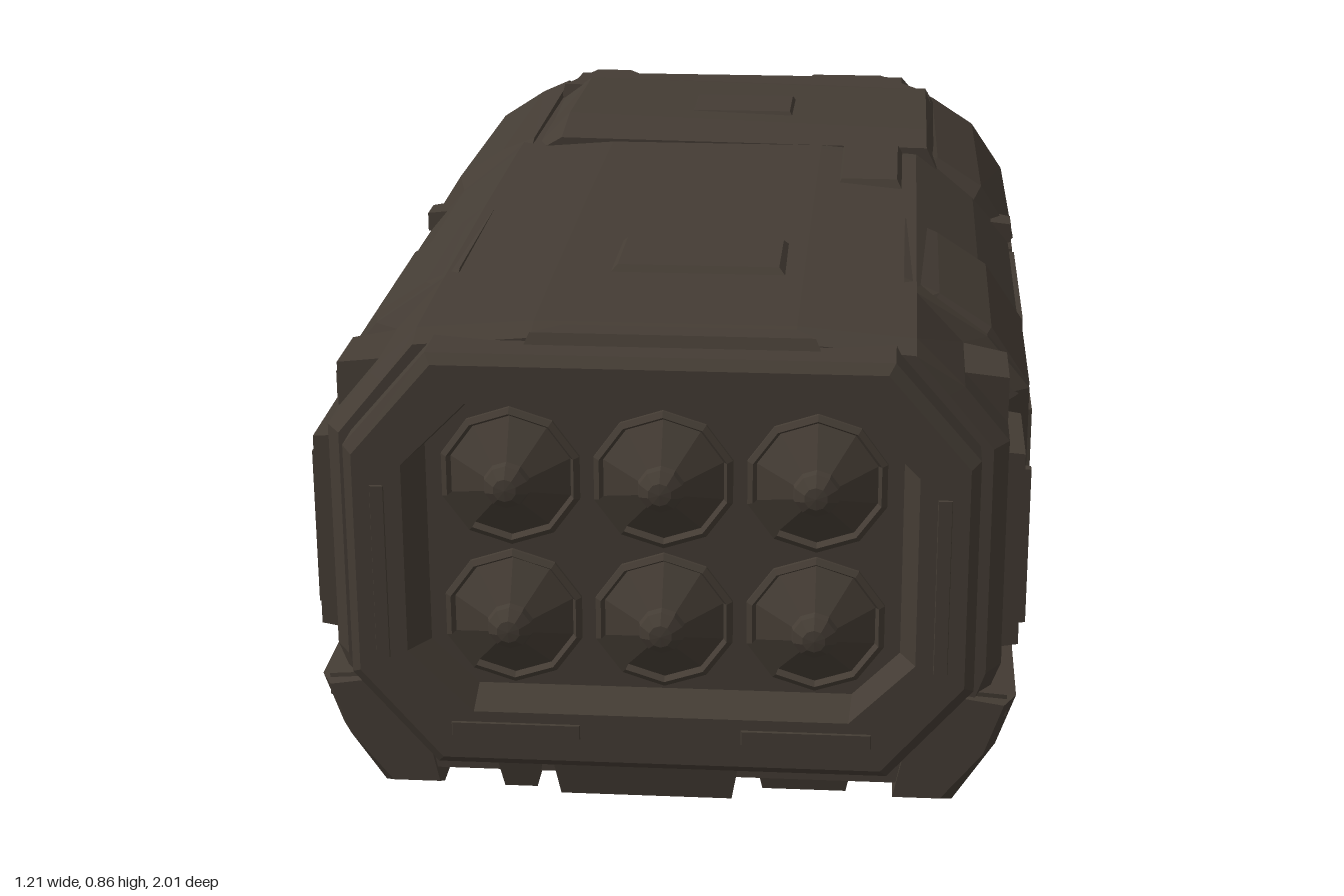
import * as THREE from 'three';

const hull = new THREE.MeshStandardMaterial({ color: 0x443c34, flatShading: true });
hull.name = 'dark brown hull';
const blue = new THREE.MeshStandardMaterial({ color: 0x1c3552, flatShading: true });
blue.name = 'navy marker';

// Skin through rings of [x, y], anticlockwise seen from +z, with closed ends
function loft(rings) {
  const v = [];
  const at = (r, j) => { const p = r.pts[j % r.pts.length]; return [p[0], p[1], r.z]; };
  const tri = (a, b, c) => v.push(...a, ...b, ...c);
  const n = rings[0].pts.length;
  for (let i = 0; i + 1 < rings.length; i++) {
    for (let j = 0; j < n; j++) {
      const a = at(rings[i], j), b = at(rings[i], j + 1);
      const c = at(rings[i + 1], j + 1), d = at(rings[i + 1], j);
      tri(a, b, c);
      tri(a, c, d);
    }
  }
  const first = rings[0], last = rings[rings.length - 1];
  for (let j = 1; j < n - 1; j++) {
    tri(at(first, 0), at(first, j + 1), at(first, j));
    tri(at(last, 0), at(last, j), at(last, j + 1));
  }
  const g = new THREE.BufferGeometry();
  g.setAttribute('position', new THREE.Float32BufferAttribute(v, 3));
  g.computeVertexNormals();
  return g;
}

// Copy of a loft reflected in x, with the corner order turned back
function mirrored(geometry) {
  const g = geometry.clone();
  const from = geometry.attributes.position, to = g.attributes.position;
  for (let i = 0; i < to.count; i += 3) {
    [0, 2, 1].forEach((k, n) => to.setXYZ(i + n, -from.getX(i + k), from.getY(i + k), from.getZ(i + k)));
  }
  g.computeVertexNormals();
  return g;
}

const rect = (u0, u1, v0, v1) => [[u0, v0], [u1, v0], [u1, v1], [u0, v1]];

// Rectangle with cut corners
const octagon = (x, y0, y1, cx, cb, ct = cb) => [
  [x - cx, y0], [x, y0 + cb], [x, y1 - ct], [x - cx, y1],
  [cx - x, y1], [-x, y1 - ct], [-x, y0 + cb], [cx - x, y0]];

// Bevelled plate rising from one level to another along the face direction.
// Outlines: side (-z, y), top (x, -z), bottom (x, z), front (x, y)
function plate(face, pts, from, to, bevel = 0.01) {
  const us = pts.map(p => p[0]), vs = pts.map(p => p[1]);
  const mid = a => (Math.min(...a) + Math.max(...a)) / 2;
  const half = a => (Math.max(...a) - Math.min(...a)) / 2;
  const mu = mid(us), mv = mid(vs);
  const ku = 1 - bevel / half(us), kv = 1 - bevel / half(vs);
  const small = pts.map(([u, w]) => [mu + (u - mu) * ku, mv + (w - mv) * kv]);
  const s = face === 'bottom' ? -1 : 1;
  const g = loft([{ pts, z: from * s }, { pts: small, z: to * s }]);
  if (face === 'side') g.rotateY(Math.PI / 2);
  if (face === 'top') g.rotateX(-Math.PI / 2);
  if (face === 'bottom') g.rotateX(Math.PI / 2);
  return g;
}

// Body cross-section: side half-width, belly height, deck height
function bodyRing(z, w, b, t) {
  const r = [[0.43, b], [w - 0.05, 0.15], [w, 0.28], [w, 0.65], [w - 0.07, 0.735], [0.38, t - 0.015], [0.2, t]];
  return { z, pts: [...r, ...r.slice().reverse().map(([x, y]) => [-x, y])] };
}

export function createModel() {
  const model = new THREE.Group();
  const add = (name, g, mat = hull, parent = model) => {
    const m = new THREE.Mesh(g, mat);
    m.name = name;
    parent.add(m);
    return m;
  };
  const pair = (name, g, mat) => {
    add(name + 'Left', g, mat);
    add(name + 'Right', mirrored(g), mat);
  };

  // Main shell
  add('body', loft([
    bodyRing(-0.91, 0.52, 0.09, 0.8), bodyRing(-0.87, 0.555, 0.075, 0.82),
    bodyRing(-0.2, 0.56, 0.06, 0.835), bodyRing(0.2, 0.56, 0.06, 0.835),
    bodyRing(0.63, 0.565, 0.06, 0.83), bodyRing(0.66, 0.525, 0.065, 0.83),
    bodyRing(0.88, 0.525, 0.07, 0.825), bodyRing(0.92, 0.5, 0.085, 0.81)]));

  // Launcher faces at both ends: rim, sloped recess and six warheads
  const warhead = new THREE.LatheGeometry([[0.114, 0], [0.112, 0.05], [0.103, 0.056], [0.097, 0.045],
    [0.037, 0.085], [0.034, 0.097], [0.018, 0.112], [0, 0.114]].map(p => new THREE.Vector2(...p)), 10);
  warhead.rotateX(Math.PI / 2);
  for (const [name, turn] of [['front', 0], ['rear', Math.PI]]) {
    const end = new THREE.Group();
    end.name = name + 'Launcher';
    end.rotation.y = turn;
    model.add(end);
    add('launcherFrame', loft([
      { z: 0.85, pts: octagon(0.48, 0.13, 0.805, 0.13, 0.15) },
      { z: 0.985, pts: octagon(0.48, 0.13, 0.805, 0.13, 0.15) },
      { z: 1, pts: octagon(0.465, 0.145, 0.79, 0.125, 0.145) },
      { z: 1, pts: octagon(0.39, 0.225, 0.73, 0.1, 0.1) },
      { z: 0.88, pts: octagon(0.355, 0.243, 0.7, 0.06, 0.06) }]), hull, end);
    for (const x of [-0.235, 0, 0.235]) {
      for (const y of [0.355, 0.588]) add('warhead', warhead, hull, end).position.set(x, y, 0.875);
    }
    for (const s of [-1, 1]) {
      add('rimSlot', plate('front', rect(s * 0.225 - 0.105, s * 0.225 + 0.105, 0.178, 0.212), 0.99, 1.003, 0.006), hull, end);
      add('rimStrip', plate('front', rect(s * 0.428 - 0.014, s * 0.428 + 0.014, 0.31, 0.6), 0.99, 1.003, 0.004), hull, end);
    }
  }

  // Sloped shoulder armour, thicker towards the rear
  const shoulder = (o) => [[0.35, 0.75], [0.5, 0.62], [0.56 + o, 0.645], [0.495 + o, 0.735 + o],
    [0.41 + o, 0.79 + o], [0.36, 0.815 + o]];
  pair('rearShoulder', loft([{ z: -0.89, pts: shoulder(-0.015) }, { z: -0.83, pts: shoulder(0.006) },
    { z: -0.28, pts: shoulder(0.012) }, { z: -0.22, pts: shoulder(-0.006) }]));
  pair('frontShoulder', loft([{ z: 0.2, pts: shoulder(0) }, { z: 0.24, pts: shoulder(0.007) },
    { z: 0.6, pts: shoulder(0.007) }, { z: 0.66, pts: shoulder(-0.02) }]));
  pair('shoulderCatch', plate('side', rect(0.22, 0.3, 0.64, 0.695), 0.5, 0.565));

  // Roof plates, the rear one leaning to one side, with two lugs behind it
  const roof = (d) => [[0.42, 0.79], [0.4, 0.83 + d * 0.3], [-0.3, 0.835 + d], [-0.37, 0.8]];
  add('rearRoofPlate', loft([{ z: -0.79, pts: roof(-0.02) }, { z: -0.73, pts: roof(0.015) },
    { z: -0.36, pts: roof(0.025) }, { z: -0.23, pts: roof(0.006) }]));
  add('roofLugRight', plate('top', [[-0.37, 0.7], [-0.12, 0.7], [-0.23, 0.88], [-0.31, 0.88]], 0.78, 0.838, 0.015));
  add('roofLugLeft', plate('top', [[0.11, 0.7], [0.42, 0.7], [0.31, 0.89], [0.15, 0.89]], 0.78, 0.832, 0.015));
  add('roofHatch', plate('top', rect(-0.08, 0.15, 0.41, 0.59), 0.82, 0.853, 0.02));
  add('frontRoofHatch', plate('top', rect(-0.12, 0.18, -0.64, -0.44), 0.82, 0.84, 0.02));
  add('frontRoofLip', plate('top', [[-0.22, -0.95], [0.25, -0.95], [0.21, -0.86], [-0.16, -0.86]], 0.78, 0.822, 0.02));
  add('roofStrip', plate('top', rect(0.23, 0.36, -0.05, 0.24), 0.81, 0.838, 0.015));

  // Side panels, vents and blocks
  const sides = [
    ['midPanel', [-0.2, 0.25, 0.27, 0.64], 0.573],
    ['midFrame', [-0.095, 0.095, 0.405, 0.51], 0.586],
    ['frontPanel', [-0.6, -0.24, 0.29, 0.61], 0.573],
    ['rearPanel', [0.28, 0.49, 0.26, 0.63], 0.572],
    ['rearSidePlate', [0.73, 0.89, 0.24, 0.62], 0.57],
    ['ventColumn', [0.5, 0.71, 0.24, 0.31], 0.572],
    ['ventBox', [0.51, 0.7, 0.32, 0.46], 0.573],
    ['ventStep', [0.5, 0.64, 0.47, 0.52], 0.568],
    ['ventCap', [0.64, 0.72, 0.49, 0.61], 0.575],
    ['rearSlot', [0.77, 0.84, 0.31, 0.55], 0.578],
    ['frontColumn', [-0.89, -0.68, 0.3, 0.64], 0.55],
    ['frontRib', [-0.85, -0.81, 0.32, 0.6], 0.562],
    ['frontCap', [-0.81, -0.66, 0.64, 0.735], 0.525],
    ['frontFoot', [-0.92, -0.66, 0.19, 0.25], 0.535],
    ['rearFoot', [0.5, 0.82, 0.15, 0.22], 0.54]];
  for (const [name, r, x] of sides) pair(name, plate('side', rect(...r), 0.45, x, 0.012));

  // Blue markers, the right one a little higher and shorter
  const marker = (y, tail, tip) => plate('side', [[tail, y], [tip - 0.04, y], [tip, y + 0.035],
    [tip - 0.03, y + 0.062], [tail, y + 0.062]], 0.56, 0.603, 0.006);
  add('markerLeft', marker(0.25, -0.082, 0.19), blue);
  add('markerRight', mirrored(marker(0.29, -0.07, 0.165)), blue);

  // Lower side skids
  const skid = (z0, z1, y) => loft([z0, z0 + 0.04, z1 - 0.04, z1].map((z, i) => {
    const e = i % 3 ? 0 : 0.02;
    return { z, pts: [[0.36, y + e], [0.455 - e, y + e], [0.52 - e, y + 0.1], [0.55 - e, 0.23], [0.4, 0.25]] };
  }));
  pair('middleSkid', skid(-0.24, 0.19, 0.06));
  pair('frontSkid', skid(0.57, 0.93, 0.045));
  pair('rearSkid', skid(-0.92, -0.65, 0.05));
  pair('skidRail', plate('side', rect(-0.17, 0.21, 0.14, 0.18), 0.45, 0.55, 0.012));

  // Belly plates
  const belly = [
    ['frontBellyPlate', [-0.18, 0.12, 0.56, 0.94], 0.05],
    ['frontBellyBoxRight', [-0.27, -0.19, 0.6, 0.94], 0.06],
    ['frontBellyBoxLeft', [0.14, 0.3, 0.6, 0.92], 0.06],
    ['bellyKeel', [-0.16, 0.16, -0.55, -0.28], 0.04],
    ['rearBellyPlate', [-0.24, 0.24, -0.92, -0.66], 0.055],
    ['bellyBlockRight', [-0.33, -0.08, -0.64, -0.25], 0],
    ['bellyBlockLeft', [0.16, 0.29, -0.64, -0.25], 0.01],
    ['bellyRailRight', [-0.34, -0.24, -0.25, 0.35], 0.023],
    ['bellyRailLeft', [0.24, 0.34, -0.25, 0.35], 0.028],
    ['bellyPadRight', [-0.36, -0.22, 0.42, 0.58], 0.045],
    ['bellyPadLeft', [0.22, 0.36, 0.42, 0.58], 0.045]];
  for (const [name, r, y] of belly) add(name, plate('bottom', rect(...r), 0.13, y, 0.014));
  const hex = [...Array(6).keys()].map(i => [0.11 * Math.cos(i * Math.PI / 3), 0.05 + 0.11 * Math.sin(i * Math.PI / 3)]);
  add('bellyCap', plate('bottom', hex, 0.08, 0.045, 0.015));

  return model;
}
